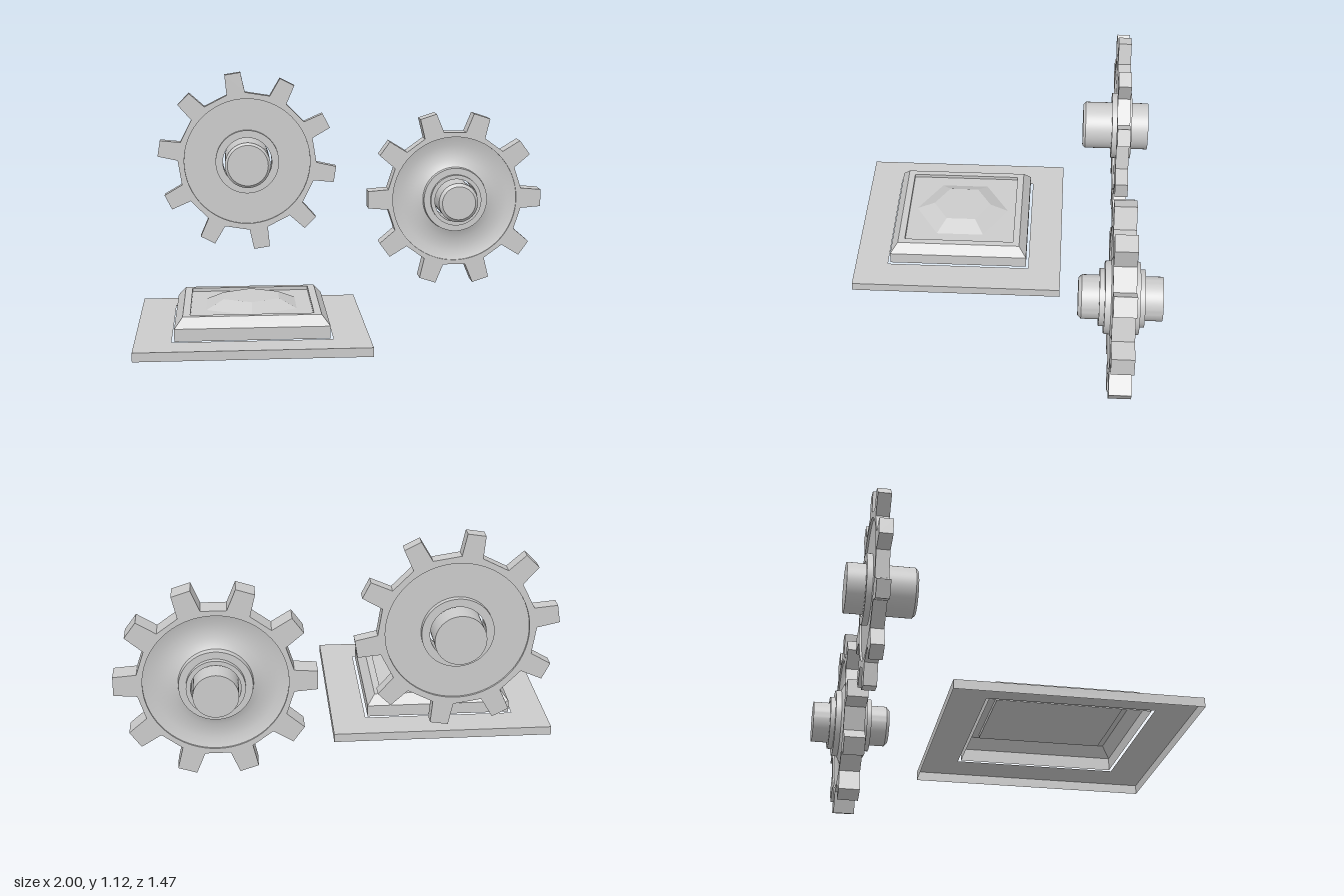
import * as THREE from 'three';
import { toCreasedNormals } from 'three/addons/utils/BufferGeometryUtils.js';

const grey = new THREE.MeshStandardMaterial({ color: 0xcccccc });
const facetedShell = new THREE.MeshStandardMaterial({
  color: 0xcccccc, flatShading: true, side: THREE.DoubleSide,
});
const vec = ([x, y]) => new THREE.Vector2(x, y);

function mesh(name, geometry, material = grey) {
  const m = new THREE.Mesh(geometry, material);
  m.name = name;
  return m;
}

// Revolved part whose axis points along z
function turned(name, profile) {
  const g = new THREE.LatheGeometry(profile.map(vec), 64).rotateX(Math.PI / 2);
  return mesh(name, toCreasedNormals(g, 0.5));
}

// Open square shell; the profile gives half-widths and heights
function squareShell(name, profile) {
  const pts = profile.map(([h, y]) => vec([h * Math.SQRT2, y]));
  return mesh(name, new THREE.LatheGeometry(pts, 4, Math.PI / 4), facetedShell);
}

// Ten-toothed rim with a round opening for the web
function toothedRim({ tip, root, tipHalf, rootHalf, hole, thickness, turn }) {
  const teeth = 10, pts = [];
  for (let i = 0; i < teeth; i++) {
    const a = turn + (i / teeth) * Math.PI * 2;
    for (const [r, w] of [[root, -rootHalf], [tip, -tipHalf], [tip, tipHalf], [root, rootHalf]]) {
      pts.push(vec([r * Math.cos(a) - w * Math.sin(a), r * Math.sin(a) + w * Math.cos(a)]));
    }
  }
  const shape = new THREE.Shape(pts);
  shape.holes.push(new THREE.Path().absarc(0, 0, hole, 0, Math.PI * 2, true));
  const g = new THREE.ExtrudeGeometry(shape, { depth: thickness, bevelEnabled: false, curveSegments: 32 });
  g.translate(0, 0, -thickness / 2);
  return mesh('toothedRim', toCreasedNormals(g, 0.3));
}

// Rim, stepped web and loose shaft; web lists radius and half-thickness outwards
function gear(name, rim, web, shaft) {
  const group = new THREE.Group();
  group.name = name;
  const back = web.map(([r, h]) => [r, -h]);
  const front = [...web].reverse();
  const { r, z0, z1, bevel } = shaft;
  group.add(
    toothedRim(rim),
    turned('webAndHub', [...back, ...front, back[0]]),
    turned('shaft', [[0, z0], [r, z0], [r, z1 - bevel], [r - bevel, z1], [0, z1]]),
  );
  return group;
}

export function createModel() {
  const model = new THREE.Group();

  // Pedestal: plate with a square opening, bevelled tray and faceted gem
  const pedestal = new THREE.Group();
  pedestal.name = 'pedestal';
  pedestal.add(
    squareShell('basePlate', [[0.51, 0], [0.51, 0.04], [0.35, 0.04]]),
    squareShell('tray', [[0.338, 0.04], [0.338, 0.095], [0.302, 0.14], [0.27, 0.14], [0.27, 0.124], [0, 0.124]]),
    mesh('gem', new THREE.LatheGeometry(
      [[0.232, 0.125], [0.143, 0.163], [0, 0.163]].map(vec), 6), facetedShell),
  );
  pedestal.position.set(-0.49, 0, 0.223);

  // Thin gear with a plain hub
  const thinGear = gear('thinGear',
    { tip: 0.444, root: 0.343, tipHalf: 0.04, rootHalf: 0.046, hole: 0.314, thickness: 0.06, turn: -Math.PI / 20 },
    [[0.122, 0.047], [0.158, 0.047], [0.158, 0.02], [0.314, 0.02]],
    { r: 0.112, z0: -0.128, z1: 0.185, bevel: 0.012 });
  thinGear.position.set(-0.49, 0.675, -0.56);

  // Thick gear with a dished web and stepped hub
  const thickGear = gear('thickGear',
    { tip: 0.44, root: 0.338, tipHalf: 0.043, rootHalf: 0.051, hole: 0.315, thickness: 0.1, turn: 0 },
    [[0.108, 0.1], [0.128, 0.1], [0.128, 0.077], [0.16, 0.077], [0.163, 0.05],
      [0.205, 0.03], [0.273, 0.03], [0.315, 0.042]],
    { r: 0.098, z0: -0.18, z1: 0.192, bevel: 0.015 });
  thickGear.position.set(0.555, 0.475, -0.56);

  model.add(pedestal, thinGear, thickGear);
  return model;
}
